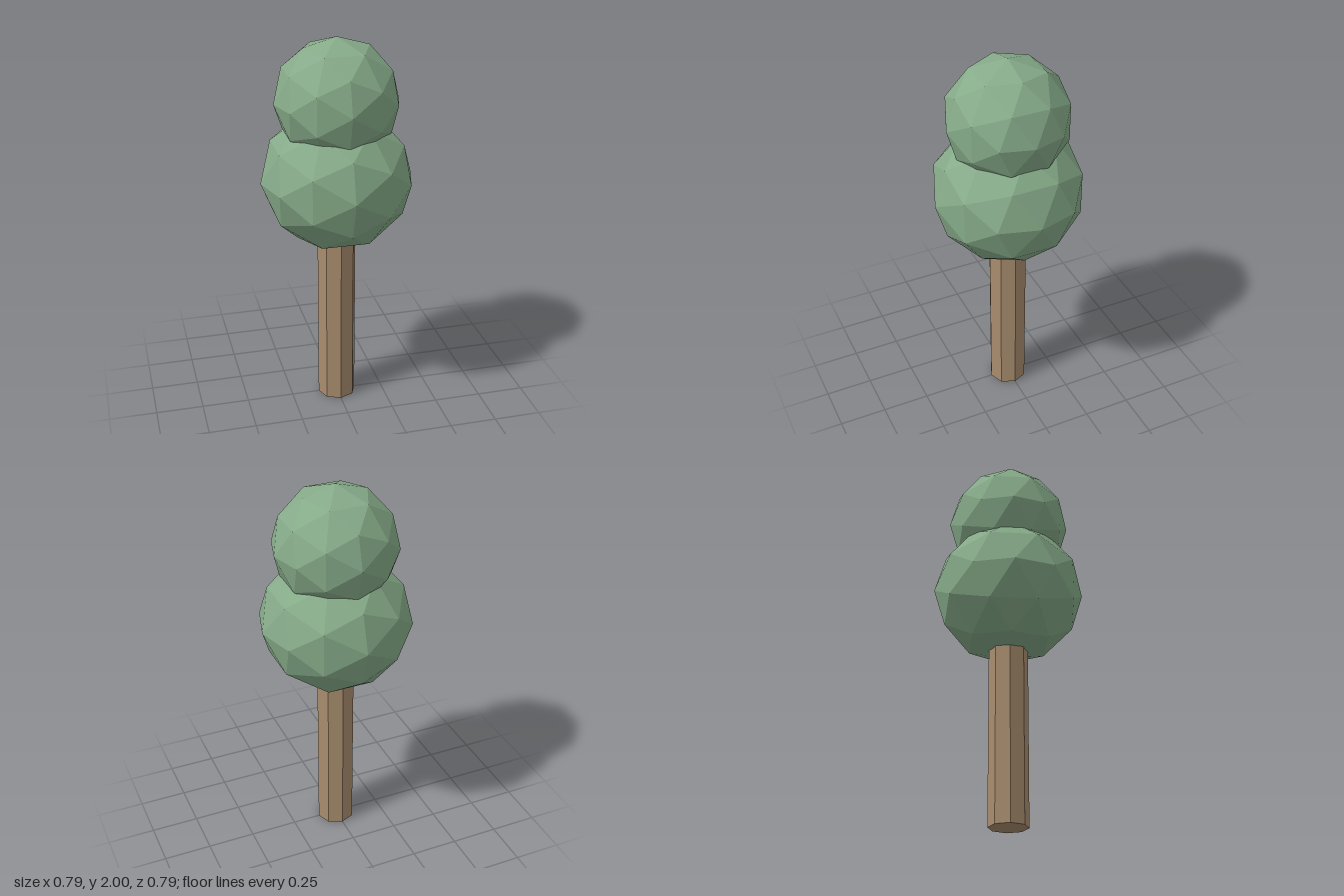
import * as THREE from 'three';

export function createModel() {
  const tree = new THREE.Group();
  tree.name = 'tree';

  const leafGreen = new THREE.MeshStandardMaterial({ color: 0x86ab89, flatShading: true });
  leafGreen.name = 'leaf green';
  const barkBrown = new THREE.MeshStandardMaterial({ color: 0xa98d6e, flatShading: true });
  barkBrown.name = 'bark brown';

  // Adds a faceted part centred on the trunk axis
  function addPart(name, geometry, material, y) {
    const faceted = geometry.index ? geometry.toNonIndexed() : geometry;
    faceted.computeVertexNormals();
    const mesh = new THREE.Mesh(faceted, material);
    mesh.name = name;
    mesh.position.y = y;
    tree.add(mesh);
  }

  // Eight-sided trunk, its top end hidden in the foliage
  const trunkHeight = 1.0;
  addPart('trunk', new THREE.CylinderGeometry(0.102, 0.102, trunkHeight, 8), barkBrown, trunkHeight / 2);

  // Two faceted balls of foliage, the lower one slightly flattened
  addPart('lowerFoliage', new THREE.IcosahedronGeometry(1, 1).scale(0.395, 0.373, 0.395), leafGreen, 1.27);
  addPart('upperFoliage', new THREE.IcosahedronGeometry(0.32, 1), leafGreen, 1.68);

  return tree;
}
